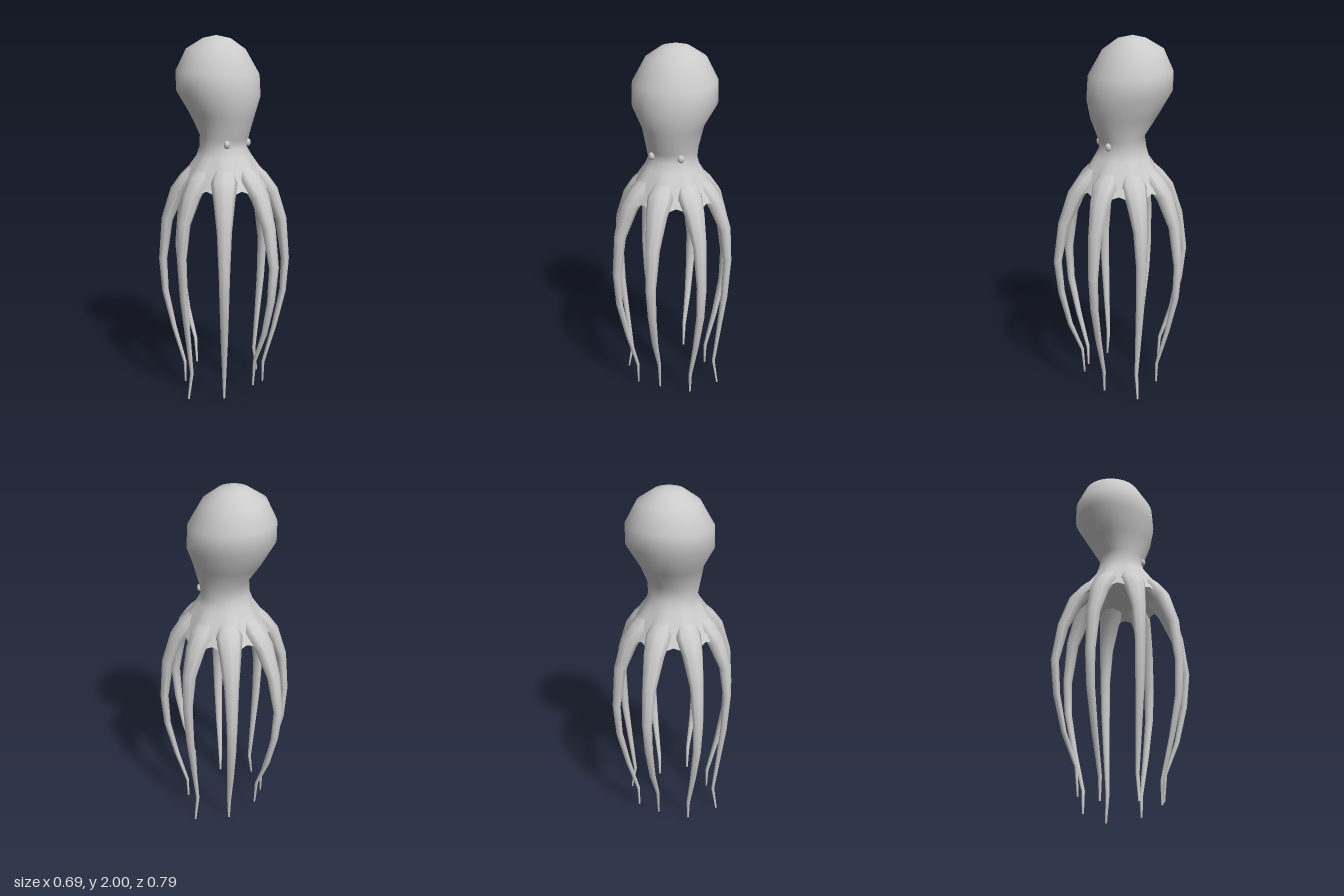
import * as THREE from 'three';
import { mergeVertices } from 'three/addons/utils/BufferGeometryUtils.js';

const material = new THREE.MeshStandardMaterial({ color: 0xcccccc });

// Skin a list of rings (top to bottom, equal point counts) with smooth normals
function loft(rings) {
  const n = rings[0].length;
  const index = [];
  for (let i = 0; i < rings.length - 1; i++) {
    for (let j = 0; j < n; j++) {
      const a = i * n + j, b = i * n + (j + 1) % n;
      index.push(a, a + n, b, b, a + n, b + n);
    }
  }
  const geometry = new THREE.BufferGeometry().setFromPoints(rings.flat());
  geometry.setIndex(index);
  const merged = mergeVertices(geometry, 1e-4);
  merged.computeVertexNormals();
  return merged;
}

function ring(n, pointAt) {
  return Array.from({ length: n }, (_, j) => pointAt((j / n) * Math.PI * 2));
}

function addMesh(parent, name, geometry) {
  const mesh = new THREE.Mesh(geometry, material);
  mesh.name = name;
  parent.add(mesh);
  return mesh;
}

const SIDES = 32;

// Backward-leaning head: front z, front y, back z, back y, half width
const HEAD = [
  [-0.06, 2.0, -0.06, 2.0, 0],
  [0.02, 1.983, -0.13, 1.985, 0.075],
  [0.1, 1.925, -0.225, 1.93, 0.16],
  [0.178, 1.79, -0.275, 1.82, 0.227],
  [0.187, 1.67, -0.275, 1.72, 0.229],
  [0.17, 1.57, -0.2, 1.585, 0.165],
  [0.125, 1.45, -0.122, 1.48, 0.142],
  [0.122, 1.405, -0.135, 1.405, 0.133],
];

// Web between the arms: radius, lobe of radius, y, lobe of y
const SKIRT = [
  [0.15, 0.002, 1.36, 0],
  [0.18, 0.008, 1.31, 0],
  [0.212, 0.012, 1.255, 0],
  [0.248, 0.008, 1.178, -0.018],
];
const UNDERSIDE = [
  [0.248, 0.008, 1.178, -0.018],
  [0.2, 0.004, 1.215, -0.01],
  [0.12, 0, 1.25, 0],
  [0, 0, 1.265, 0],
];

function headRing([zf, yf, zb, yb, hw]) {
  return ring(SIDES, (a) => {
    const c = Math.cos(a);
    return new THREE.Vector3(
      hw * Math.sin(a),
      (yf + yb) / 2 + (c * (yf - yb)) / 2,
      (zf + zb) / 2 + (c * (zf - zb)) / 2
    );
  });
}

function lobedRing([r, dr, y, dy]) {
  return ring(SIDES, (a) => {
    const lobe = Math.cos(8 * a);
    const radius = r + dr * lobe;
    return new THREE.Vector3(radius * Math.sin(a), y + dy * lobe, radius * Math.cos(a));
  });
}

// Arm centre lines as [distance from axis, y]
const LONG_REACH = [[0.13, 1.32], [0.21, 1.235], [0.268, 1.16], [0.335, 1.0], [0.374, 0.79],
  [0.357, 0.6], [0.312, 0.4], [0.242, 0.22], [0.23, 0.07]];
const SIDE_REACH = [[0.13, 1.32], [0.2, 1.235], [0.248, 1.16], [0.303, 1.02], [0.322, 0.83],
  [0.31, 0.6], [0.287, 0.4], [0.257, 0.15], [0.282, 0.003]];
const DIAGONAL_REACH = [[0.13, 1.32], [0.205, 1.235], [0.258, 1.16], [0.318, 1.0], [0.345, 0.77],
  [0.335, 0.58], [0.288, 0.36], [0.228, 0.14], [0.226, 0.02]];
const ARM_WIDTH = [0.05, 0.07, 0.058, 0.04, 0.03, 0.025, 0.019, 0.011, 0.006];
const ARM_DEPTH = [0.03, 0.04, 0.042, 0.032, 0.023, 0.019, 0.014, 0.009, 0.005];

// Tapering arm reaching out along +z
function armGeometry(path) {
  const section = (i, scale) => {
    const [r, y] = path[i];
    const before = path[Math.max(i - 1, 0)];
    const after = path[Math.min(i + 1, path.length - 1)];
    const dr = after[0] - before[0], dy = after[1] - before[1];
    const length = Math.hypot(dr, dy);
    return ring(8, (a) => {
      const out = ARM_DEPTH[i] * scale * Math.cos(a);
      return new THREE.Vector3(
        ARM_WIDTH[i] * scale * Math.sin(a),
        y + (out * dr) / length,
        r - (out * dy) / length
      );
    });
  };
  const rings = path.map((_, i) => section(i, 1));
  rings.push(section(path.length - 1, 0)); // closed tip
  return loft(rings);
}

export function createModel() {
  const model = new THREE.Group();
  model.name = 'octopus';

  // Head, neck and web
  addMesh(model, 'body', loft([...HEAD.map(headRing), ...SKIRT.map(lobedRing)]));
  addMesh(model, 'underside', loft(UNDERSIDE.map(lobedRing)));

  // Eight arms, every 45 degrees
  const arms = new THREE.Group();
  arms.name = 'arms';
  model.add(arms);
  const long = armGeometry(LONG_REACH);
  const side = armGeometry(SIDE_REACH);
  const diagonal = armGeometry(DIAGONAL_REACH);
  [long, diagonal, side, diagonal, long, diagonal, side, diagonal].forEach((geometry, i) => {
    addMesh(arms, `arm${i + 1}`, geometry).rotation.y = (i * Math.PI) / 4;
  });

  // Eyes
  const eye = new THREE.SphereGeometry(1, 12, 8);
  for (const s of [1, -1]) {
    const mesh = addMesh(model, s > 0 ? 'leftEye' : 'rightEye', eye);
    mesh.position.set(s * 0.08, 1.431, 0.102);
    mesh.scale.set(0.019, 0.022, 0.016);
  }

  return model;
}
